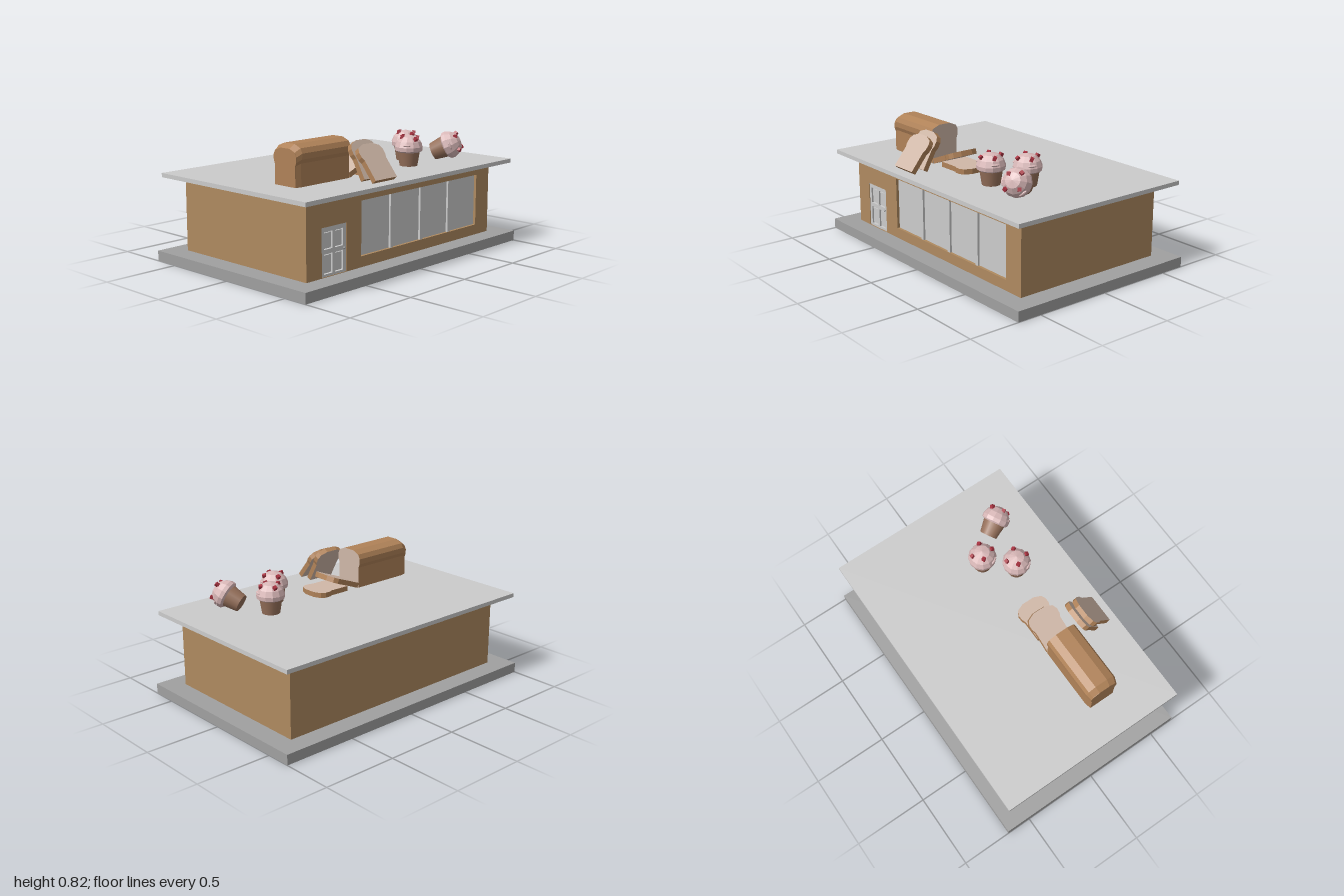
import * as THREE from 'three';

const mat = (color, flat = false) => new THREE.MeshStandardMaterial({ color, flatShading: flat });
const grey = mat(0xcccccc), stone = mat(0xa0a0a0), wall = mat(0xaf8a60);
const crust = mat(0xb08258, true), crumb = mat(0xd0b8a8);
const cupMat = mat(0x96705a), icing = mat(0xd9b8b8, true), red = mat(0xa83240);

function add(parent, name, geometry, material, x = 0, y = 0, z = 0) {
  const mesh = new THREE.Mesh(geometry, material);
  mesh.name = name;
  mesh.position.set(x, y, z);
  parent.add(mesh);
  return mesh;
}

// Box given by its minimum and maximum corners
function box(parent, name, material, [x0, y0, z0], [x1, y1, z1]) {
  return add(parent, name, new THREE.BoxGeometry(x1 - x0, y1 - y0, z1 - z0), material,
    (x0 + x1) / 2, (y0 + y1) / 2, (z0 + z1) / 2);
}

// Rectangular panel with rectangular holes, each [x0, y0, x1, y1]
function panel(outer, holes, depth) {
  const trace = (path, [x0, y0, x1, y1]) => {
    path.moveTo(x0, y0).lineTo(x1, y0).lineTo(x1, y1).lineTo(x0, y1).closePath();
    return path;
  };
  const shape = trace(new THREE.Shape(), outer);
  shape.holes = holes.map((h) => trace(new THREE.Path(), h));
  return new THREE.ExtrudeGeometry(shape, { depth, bevelEnabled: false });
}

// Bread outline: straight sides swelling into a domed top
function breadGeometry(depth, steps = 1) {
  const side = [[0.096, 0], [0.095, 0.14], [0.105, 0.165], [0.106, 0.2], [0.091, 0.23], [0.042, 0.25]];
  const left = side.map(([x, y]) => [-x, y]).reverse();
  const shape = new THREE.Shape([...side, ...left].map(([x, y]) => new THREE.Vector2(x, y)));
  return new THREE.ExtrudeGeometry(shape, { depth, steps, bevelEnabled: false });
}

// Slice on its heel at a point; up = direction of its top, face = direction of its cut face
function slice(parent, at, up, face) {
  const mesh = add(parent, 'breadSlice', breadGeometry(0.034), [crumb, crust]);
  const side = new THREE.Vector3().crossVectors(up, face);
  mesh.quaternion.setFromRotationMatrix(new THREE.Matrix4().makeBasis(side, up, face));
  mesh.position.set(...at);
}

function bread() {
  const group = new THREE.Group();
  group.name = 'bread';

  // Loaf with one rounded end and one cut end
  const geometry = breadGeometry(0.445, 12);
  const p = geometry.attributes.position;
  for (let i = 0; i < p.count; i++) {
    if (p.getZ(i) > 0.01) continue;
    p.setX(i, p.getX(i) * 0.9);
    p.setY(i, p.getY(i) * 0.9);
  }
  geometry.computeVertexNormals();
  const loaf = add(group, 'loaf', geometry, [crumb, crust], -0.73, 0.567, 0.228);
  loaf.rotation.y = Math.PI / 2;
  // Crust over the rounded end
  const heel = add(group, 'loafHeel', breadGeometry(0.004), crust, -0.732, 0.567, 0.228);
  heel.rotation.y = Math.PI / 2;
  heel.scale.set(0.9, 0.9, 1);

  // Slices fallen beside the loaf
  for (const [x, a] of [[-0.185, 0], [-0.275, 0.37]]) {
    slice(group, [x, 0.568, 0.228],
      new THREE.Vector3(Math.cos(a), Math.sin(a), 0), new THREE.Vector3(-Math.sin(a), Math.cos(a), 0));
  }
  // Slices leaning against the loaf
  for (const [z, a] of [[0.56, 0.68], [0.468, 0.51]]) {
    slice(group, [-0.24, 0.569, z],
      new THREE.Vector3(0, Math.cos(a), -Math.sin(a)), new THREE.Vector3(0, Math.sin(a), Math.cos(a)));
  }
  return group;
}

function muffin() {
  const group = new THREE.Group();
  group.name = 'muffin';
  add(group, 'muffinCup', new THREE.CylinderGeometry(0.074, 0.058, 0.1, 16), cupMat, 0, 0.05, 0);

  const profile = [[0, 0.088], [0.074, 0.09], [0.09, 0.1], [0.092, 0.125], [0.078, 0.16], [0.048, 0.19], [0, 0.202]];
  add(group, 'muffinTop', new THREE.LatheGeometry(profile.map(([x, y]) => new THREE.Vector2(x, y)), 12), icing);

  // Berries: x, y, z
  const berries = [[0.016, 0.18, -0.064], [0.062, 0.178, 0.02], [-0.012, 0.176, 0.066], [-0.045, 0.186, -0.018]];
  berries.forEach(([x, y, z], i) => {
    const berry = add(group, 'berry', new THREE.BoxGeometry(0.022, 0.024, 0.022), red, x, y, z);
    berry.rotation.set(z * 8, i * 0.7, -x * 8);
  });
  // Flakes pressed into the top
  for (const a of [0.35, 2.6]) {
    const flake = add(group, 'flake', new THREE.SphereGeometry(1, 10, 6), icing,
      Math.cos(a) * 0.083, 0.14, Math.sin(a) * 0.083);
    flake.scale.set(0.01, 0.008, 0.028);
    flake.rotation.y = -a;
  }
  return group;
}

function building() {
  const group = new THREE.Group();
  group.name = 'building';
  box(group, 'baseSlab', stone, [-1, 0, -0.665], [1, 0.067, 0.665]);
  box(group, 'walls', wall, [-0.865, 0.067, -0.535], [0.865, 0.54, 0.51]);
  box(group, 'roof', grey, [-0.97, 0.54, -0.64], [0.97, 0.567, 0.64]);

  // Front wall with openings for door and window
  const door = [-0.74, 0.07, -0.535, 0.365], win = [-0.405, 0.135, 0.73, 0.475];
  add(group, 'frontWall', panel([-0.865, 0.067, 0.865, 0.54], [door, win], 0.025), wall, 0, 0, 0.51);

  // Shop window with mullions
  box(group, 'windowPane', grey, [win[0], win[1], 0.508], [win[2], win[3], 0.517]);
  for (const x of [-0.135, 0.15, 0.432]) {
    box(group, 'mullion', grey, [x, win[1], 0.515], [x + 0.025, win[3], 0.531]);
  }

  // Panelled door
  const openings = [];
  for (const [x0, x1] of [[-0.718, -0.647], [-0.628, -0.557]]) {
    for (const [y0, y1] of [[0.085, 0.205], [0.232, 0.337]]) openings.push([x0, y0, x1, y1]);
  }
  add(group, 'doorFrame', panel(door, openings, 0.02), grey, 0, 0, 0.511);
  box(group, 'doorBack', grey, [-0.738, 0.072, 0.505], [-0.537, 0.363, 0.514]);
  for (const [x0, y0, x1, y1] of openings) {
    box(group, 'doorPanel', grey, [x0 + 0.008, y0 + 0.008, 0.512], [x1 - 0.008, y1 - 0.008, 0.525]);
  }
  add(group, 'doorKnob', new THREE.SphereGeometry(0.007, 10, 8), stone, -0.553, 0.216, 0.536);
  return group;
}

export function createModel() {
  const model = new THREE.Group();
  model.name = 'bakery';
  model.add(building(), bread());

  // Two upright muffins and one tipped over
  const up = new THREE.Vector3(0, 1, 0);
  const placements = [
    [[0.3, 0.567, 0.305], [0, 1, 0]],
    [[0.455, 0.567, 0.145], [0, 1, 0]],
    [[0.585, 0.622, 0.28], [0.41, 0.42, 0.8]],
  ];
  for (const [at, axis] of placements) {
    const m = muffin();
    m.position.set(...at);
    m.quaternion.setFromUnitVectors(up, new THREE.Vector3(...axis).normalize());
    model.add(m);
  }
  return model;
}
